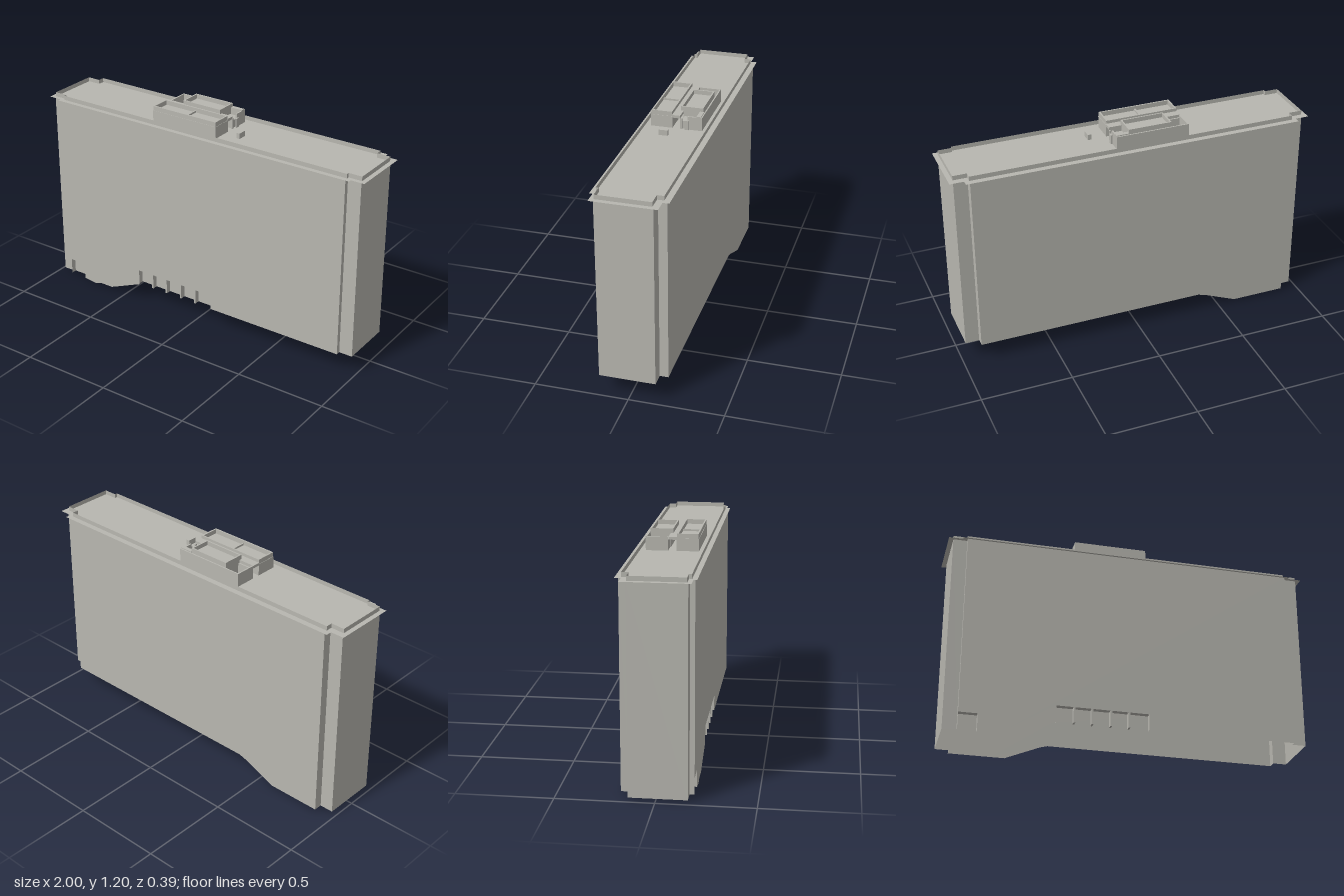
import * as THREE from 'three';

const shell = new THREE.MeshStandardMaterial({ color: 0xb8b7b0, side: THREE.DoubleSide });
shell.name = 'warm grey';

const FRONT = 0.185, BACK = -0.183, END_F = 0.16, END_B = -0.137;
const LOW = 0.015, HIGH = 0.105, TOP = 1.107, MAIN = 0.9, END = 0.975;

const toShape = pts => new THREE.Shape(pts.map(p => new THREE.Vector2(...p)));

export function createModel() {
  const model = new THREE.Group();

  const add = (name, geo, parent = model) => {
    const mesh = new THREE.Mesh(geo, shell);
    mesh.name = name;
    parent.add(mesh);
    return mesh;
  };
  // upright sheet in the xy plane
  const sheet = (name, pts, z, parent) =>
    add(name, new THREE.ShapeGeometry(toShape(pts)).translate(0, 0, z), parent);
  // box given by its minimum and maximum corners
  const block = (name, [x0, y0, z0], [x1, y1, z1], parent) =>
    add(name, new THREE.BoxGeometry(x1 - x0, y1 - y0, z1 - z0)
      .translate((x0 + x1) / 2, (y0 + y1) / 2, (z0 + z1) / 2), parent);
  // upright sheet between two plan points
  const wall = (name, [xa, za], [xb, zb], y0, y1, parent) => {
    const geo = new THREE.PlaneGeometry(Math.hypot(xb - xa, zb - za), y1 - y0);
    geo.rotateY(-Math.atan2(zb - za, xb - xa));
    return add(name, geo.translate((xa + xb) / 2, (y0 + y1) / 2, (za + zb) / 2), parent);
  };
  // symmetric plan outline with stepped-in ends
  const plan = (xm, xe, zf, zb, ef, eb) => [
    [-xm, zf], [xm, zf], [xm, ef], [xe, ef], [xe, eb], [xm, eb],
    [xm, zb], [-xm, zb], [-xm, eb], [-xe, eb], [-xe, ef], [-xm, ef]];

  // Long walls, open underneath, stepping down to the deep end
  const slope = [[-0.37, HIGH], [-0.41, 0.094], [-0.6, LOW], [-0.68, LOW], [-0.72, 0.002], [-0.8, 0.01]];
  sheet('frontWall', [
    [-MAIN, TOP], [MAIN, TOP], [MAIN, HIGH], [0.1, HIGH], [0.1, 0.19], [-0.395, 0.19],
    [-0.395, 0.1], ...slope.slice(1), [-0.8, HIGH], [-MAIN, HIGH]], FRONT);
  sheet('backWall', [
    [-MAIN, TOP], [MAIN, TOP], [MAIN, HIGH], ...slope.slice(0, 4), [-MAIN, LOW]], BACK);

  // End walls with their corner returns
  for (const s of [-1, 1]) {
    const y0 = s < 0 ? LOW : HIGH;
    const path = [[MAIN, FRONT], [MAIN, END_F], [END, END_F], [END, END_B], [MAIN, END_B], [MAIN, BACK]];
    for (let i = 0; i < path.length - 1; i++)
      wall(i === 2 ? 'endWall' : 'cornerReturn',
        [s * path[i][0], path[i][1]], [s * path[i + 1][0], path[i + 1][1]], y0, TOP);
  }

  // Shallow recesses along the lower front edge
  const recess = (name, x0, x1, y0, y1, fins) => {
    const g = new THREE.Group();
    g.name = name;
    model.add(g);
    const zi = 0.155;
    wall('recessPanel', [x0, zi], [x1, zi], y0, y1, g);
    add('recessRoof', new THREE.PlaneGeometry(x1 - x0, FRONT - zi).rotateX(Math.PI / 2)
      .translate((x0 + x1) / 2, y1, (FRONT + zi) / 2), g);
    for (const x of [x0, x1]) wall('recessSide', [x, zi], [x, FRONT], y0, y1, g);
    for (const x of fins) block('fin', [x - 0.005, y0, zi], [x + 0.005, y1, FRONT], g);
  };
  recess('finnedRecess', -0.395, 0.1, HIGH, 0.19, [-0.3, -0.205, -0.105, -0.008]);
  recess('cornerRecess', -MAIN, -0.8, LOW, HIGH, []);

  // Top plate with an overhanging flange
  const flange = plan(0.925, 1, 0.196, -0.199, 0.178, -0.166);
  add('topPlate', new THREE.ShapeGeometry(toShape(flange)).rotateX(Math.PI / 2).translate(0, TOP, 0));

  // Low lip standing on the plate
  const lip = plan(0.9, END, 0.17, -0.168, 0.155, -0.132);
  lip.forEach((p, i) => wall('lip', p, lip[(i + 1) % lip.length], TOP, 1.131));

  // Four thin walls round a rectangle
  const frame = (name, [x0, z0], [x1, z1], y0, y1, parent, t = 0.008) => {
    block(name, [x0, y0, z0], [x1, y1, z0 + t], parent);
    block(name, [x0, y0, z1 - t], [x1, y1, z1], parent);
    block(name, [x0, y0, z0 + t], [x0 + t, y1, z1 - t], parent);
    block(name, [x1 - t, y0, z0 + t], [x1, y1, z1 - t], parent);
  };

  // Front tray
  const front = new THREE.Group();
  front.name = 'frontTray';
  model.add(front);
  block('trayBase', [-0.305, TOP, 0.022], [0.1, 1.172, 0.138], front);
  frame('trayRim', [-0.303, 0.024], [0.098, 0.136], 1.172, 1.197, front);
  block('trayDivider', [-0.108, 1.172, 0.032], [-0.1, 1.182, 0.128], front);

  // Back housing: a walled well carrying a raised tray
  const back = new THREE.Group();
  back.name = 'backHousing';
  model.add(back);
  block('rearWall', [-0.305, TOP, -0.138], [0.1, 1.18, -0.131], back);
  block('sideWall', [-0.305, TOP, -0.131], [-0.297, 1.18, -0.022], back);
  block('innerWall', [-0.297, TOP, -0.03], [-0.21, 1.165, -0.022], back);
  block('raisedTrayBase', [-0.21, TOP, -0.125], [0.03, 1.18, -0.018], back);
  frame('raisedTrayRim', [-0.21, -0.126], [0.03, -0.006], 1.175, 1.204, back);
  block('bridge', [-0.305, 1.165, -0.02], [0.1, 1.18, 0.024], back);
  block('endPost', [0.03, TOP, -0.131], [0.1, 1.185, -0.108], back);
  block('endWall', [0.092, TOP, -0.108], [0.1, 1.18, -0.06], back);
  block('endShelf', [0.03, TOP, -0.1], [0.092, 1.15, -0.025], back);
  block('endRib', [0.092, TOP, -0.03], [0.1, 1.165, -0.018], back);
  block('endClip', [0.1, TOP, -0.068], [0.108, 1.158, -0.046], back);

  // Small tab beside the trays
  block('tab', [0.183, TOP, 0.018], [0.204, 1.137, 0.068]);

  return model;
}
